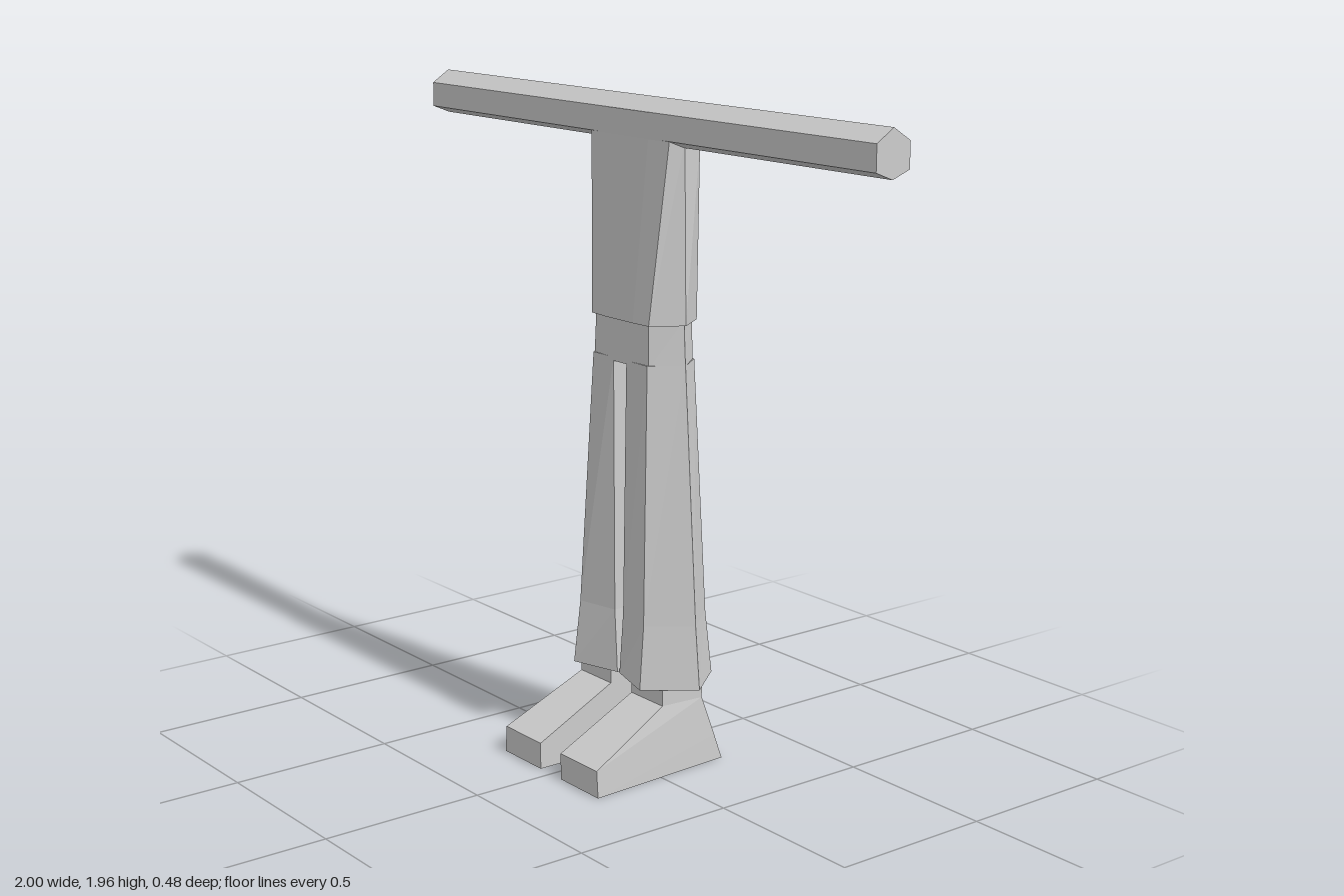
import * as THREE from 'three';

const clay = new THREE.MeshStandardMaterial({ color: 0xcccccc });
clay.name = 'light grey';
clay.flatShading = true;

// Closed solid through stacked rings of [x, y, z], each running counter-clockwise seen from above
function loft(name, rings) {
  const pos = [];
  const tri = (a, b, c) => pos.push(...a, ...b, ...c);
  const n = rings[0].length;
  for (let r = 0; r < rings.length - 1; r++) {
    const a = rings[r], b = rings[r + 1];
    for (let i = 0; i < n; i++) {
      const j = (i + 1) % n;
      tri(a[i], a[j], b[j]);
      tri(a[i], b[j], b[i]);
    }
  }
  const first = rings[0], last = rings[rings.length - 1];
  for (let i = 1; i < n - 1; i++) {
    tri(first[0], first[i + 1], first[i]);
    tri(last[0], last[i], last[i + 1]);
  }
  const geo = new THREE.BufferGeometry();
  geo.setAttribute('position', new THREE.Float32BufferAttribute(pos, 3));
  geo.computeVertexNormals();
  const mesh = new THREE.Mesh(geo, clay);
  mesh.name = name;
  return mesh;
}

// Mirror rings across x = 0, keeping the winding
const mirror = (rings) => rings.map((ring) => ring.map(([x, y, z]) => [-x, y, z]).reverse());

// Body ring: flat front and back with a pointed side
const bodyRing = (y, corner, side, mid, front, back) => [
  [mid, y, front], [corner, y, front - 0.005], [side, y, -0.103], [corner, y, back + 0.005],
  [mid, y, back], [-mid, y, back], [-corner, y, back + 0.005], [-side, y, -0.103],
  [-corner, y, front - 0.005], [-mid, y, front],
];

// Trouser leg ring: pentagon with a straight inner side
const legRing = (y, inner, corner, outer, front, back, innerFront, innerBack) => [
  [inner, y, innerFront], [corner, y, front], [outer, y, -0.103],
  [corner, y, back], [inner, y, innerBack],
];

// Foot ring: four corners
const footRing = (outerFront, outerBack, yFront, yBack, front, back) => [
  [0.05, yFront, front], [outerFront, yFront, front],
  [outerBack, yBack, back], [0.05, yBack, back],
];

export function createModel() {
  const model = new THREE.Group();
  model.name = 'figure';

  // Outstretched arms: one six-sided bar
  const bar = new THREE.Shape();
  [[0.103, 1.957], [0.046, 1.92], [0.046, 1.847], [0.103, 1.825], [0.162, 1.847], [0.162, 1.92]]
    .forEach(([z, y], i) => (i ? bar.lineTo(z, y) : bar.moveTo(z, y)));
  const armGeo = new THREE.ExtrudeGeometry(bar, { depth: 2, bevelEnabled: false });
  armGeo.rotateY(Math.PI / 2).translate(-1, 0, 0);
  const arms = new THREE.Mesh(armGeo, clay);
  arms.name = 'arms';
  model.add(arms);

  // Shirt
  model.add(loft('shirt', [
    bodyRing(1.325, 0.132, 0.19, 0.065, -0.01, -0.195),
    bodyRing(1.845, 0.178, 0.18, 0.09, -0.044, -0.164),
    bodyRing(1.92, 0.178, 0.18, 0.09, -0.044, -0.164),
  ]));

  // Hips
  model.add(loft('hips', [
    bodyRing(1.2, 0.126, 0.19, 0.03, -0.014, -0.187),
    bodyRing(1.34, 0.122, 0.182, 0.03, -0.018, -0.184),
  ]));

  // Flared trouser legs and wedge shoes
  const leg = [
    legRing(0.26, 0.005, 0.16, 0.265, 0.035, -0.235, -0.01, -0.195),
    legRing(0.45, 0.02, 0.153, 0.245, 0.016, -0.215, -0.012, -0.192),
    legRing(1.21, 0.03, 0.126, 0.19, -0.015, -0.187, -0.015, -0.187),
  ];
  const shoe = [
    footRing(0.23, 0.205, 0, 0, 0.24, -0.24),
    footRing(0.224, 0.203, 0.08, 0.08, 0.24, -0.212),
    footRing(0.197, 0.197, 0.21, 0.205, -0.02, -0.168),
    footRing(0.197, 0.197, 0.3, 0.3, -0.02, -0.168),
  ];
  model.add(loft('leftLeg', leg), loft('rightLeg', mirror(leg)));
  model.add(loft('leftShoe', shoe), loft('rightShoe', mirror(shoe)));

  return model;
}
